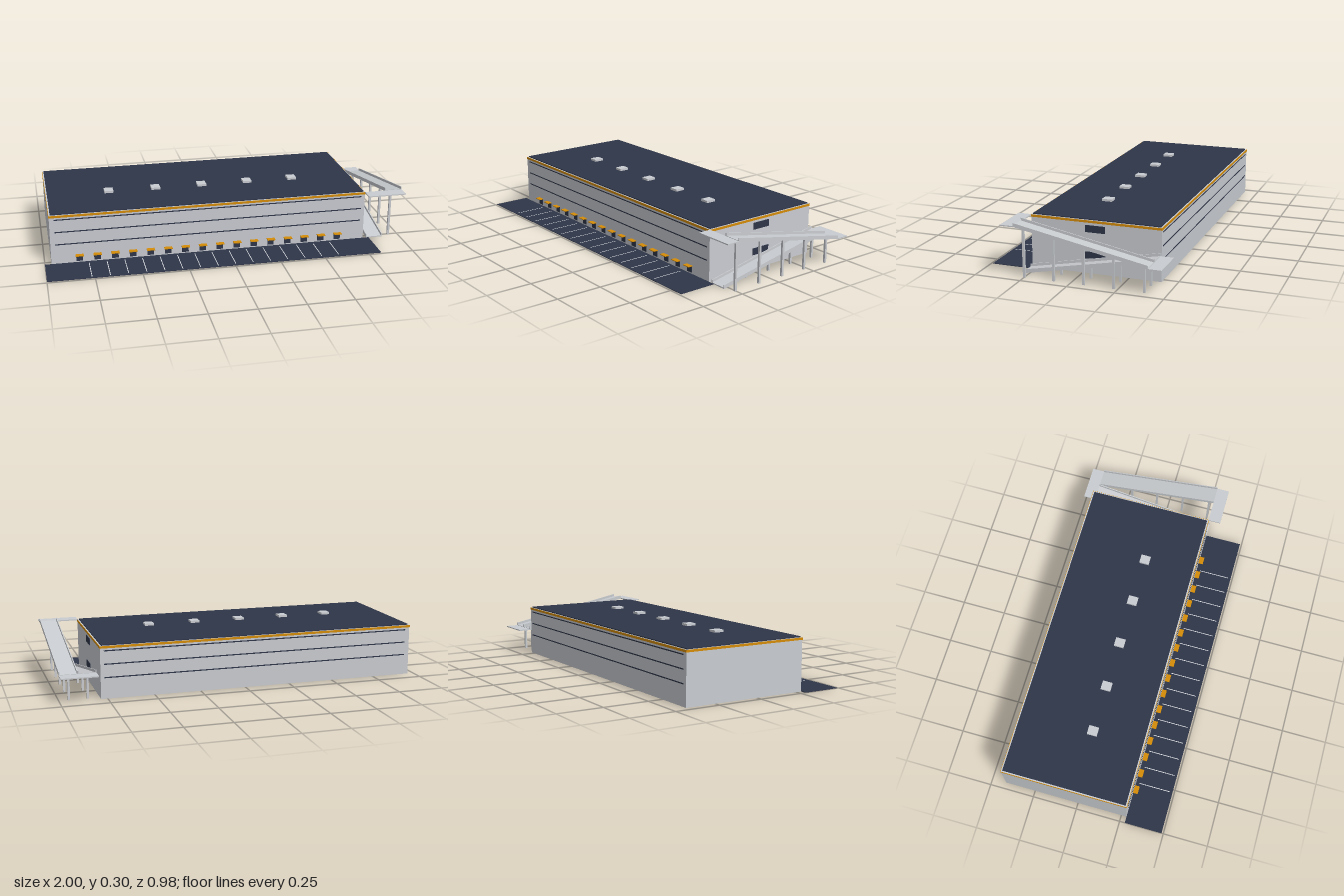
import * as THREE from 'three';

const mat = (name, color, side = THREE.FrontSide) =>
  Object.assign(new THREE.MeshStandardMaterial({ color, side }), { name });

export function createModel() {
  const wall = mat('pale wall', 0xc9ccd1);
  const navy = mat('dark navy', 0x2e3548);
  const orange = mat('orange trim', 0xd48c08);
  const steel = mat('ramp steel', 0xc9ccd0);
  const white = mat('white marking', 0xe8eaee);

  const model = new THREE.Group();
  model.name = 'warehouse';

  // Box given by its extents on each axis
  const box = (name, m, [x0, x1], [y0, y1], [z0, z1], parent = model) => {
    const mesh = new THREE.Mesh(new THREE.BoxGeometry(x1 - x0, y1 - y0, z1 - z0), m);
    mesh.position.set((x0 + x1) / 2, (y0 + y1) / 2, (z0 + z1) / 2);
    mesh.name = name;
    parent.add(mesh);
    return mesh;
  };
  const group = (name) => {
    const g = new THREE.Group();
    g.name = name;
    model.add(g);
    return g;
  };

  const X0 = -0.965, X1 = 0.785, Z0 = -0.42, Z1 = 0.28;

  // Main hall and roof
  box('hall', wall, [X0, X1], [0, 0.281], [Z0, Z1]);
  box('roof', navy, [X0 + 0.007, X1 - 0.007], [0.281, 0.286], [Z0 + 0.007, Z1 - 0.007]);

  // Orange band under the roof edge
  const band = group('roofBand');
  const bandY = [0.268, 0.28], e = 0.002;
  box('bandFront', orange, [X0 - e, X1 + e], bandY, [Z1, Z1 + e], band);
  box('bandBack', orange, [X0 - e, X1 + e], bandY, [Z0 - e, Z0], band);
  box('bandRight', orange, [X0 - e, X0], bandY, [Z0, Z1], band);
  box('bandLeft', orange, [X1, X1 + e], bandY, [Z0, Z1], band);

  // Thin cladding lines on the long walls
  const lines = group('claddingLines');
  for (const y of [0.113, 0.184, 0.255]) {
    box('frontLine', navy, [-0.94, 0.765], [y - 0.003, y + 0.003], [Z1, Z1 + 0.001], lines);
    box('backLine', navy, [-0.94, 0.765], [y - 0.003, y + 0.003], [Z0 - 0.001, Z0], lines);
  }

  // Roof skylights
  const skylights = group('skylights');
  for (let i = 0; i < 5; i++) {
    const x = -0.618 + i * 0.263;
    box('skylight', wall, [x - 0.025, x + 0.025], [0.285, 0.298], [-0.035, 0.02], skylights);
  }

  // Doors on the ramp side
  for (const y of [0.078, 0.218])
    box('sideDoor', navy, [X1, X1 + 0.003], [y, y + 0.037], [-0.123, -0.015]);

  // Loading yard, dock doors, canopies and bay markings
  box('yard', navy, [-1, 0.82], [0, 0.003], [Z1, 0.49]);
  const docks = group('loadingDocks');
  const pitch = 0.0963;
  for (let i = 0; i < 16; i++) {
    const x = -0.814 + i * pitch;
    box('dockDoor', navy, [x - 0.018, x + 0.018], [0.01, 0.045], [Z1, Z1 + 0.003], docks);
    box('dockCanopy', orange, [x - 0.022, x + 0.022], [0.045, 0.049], [Z1, 0.307], docks);
    if (i < 15) {
      const m = x + pitch / 2;
      box('bayLine', white, [m - 0.002, m + 0.002], [0.003, 0.0036], [0.30, 0.475], docks);
    }
  }

  // Sloping slab: side profile extruded along x
  const ramps = group('accessRamps');
  const slope = (name, x0, x1, yFront, yBack, t) => {
    const s = new THREE.Shape([
      new THREE.Vector2(-Z1, yFront), new THREE.Vector2(-Z0, yBack),
      new THREE.Vector2(-Z0, yBack + t), new THREE.Vector2(-Z1, yFront + t),
    ]);
    const g = new THREE.ExtrudeGeometry(s, { depth: x1 - x0, bevelEnabled: false });
    g.rotateY(Math.PI / 2).translate(x0, 0, 0);
    const mesh = new THREE.Mesh(g, steel);
    mesh.name = name;
    ramps.add(mesh);
  };
  const ramp = (name, x0, x1, yFront, yBack) => {
    slope(name + 'Deck', x0, x1, yFront, yBack, 0.006);
    for (const x of [x0, x1 - 0.005])
      slope(name + 'Kerb', x, x + 0.005, yFront + 0.004, yBack + 0.004, 0.016);
    // Posts reach the underside of the deck
    const cx = (x0 + x1) / 2 - 0.004;
    for (const z of [0.25, 0.09, -0.07, -0.228, -0.386]) {
      const y = yFront + (yBack - yFront) * (Z1 - z) / (Z1 - Z0) + 0.003;
      box(name + 'Post', steel, [cx - 0.006, cx + 0.006], [0, y], [z - 0.006, z + 0.006], ramps);
    }
  };
  ramp('lowerRamp', 0.805, 0.9, 0.001, 0.139);
  ramp('upperRamp', 0.902, 1, 0.277, 0.139);

  // Landings at the turn and at roof level
  box('turnLanding', steel, [0.805, 1], [0.137, 0.143], [-0.49, Z0], ramps);
  box('topLanding', steel, [X1, 1], [0.275, 0.281], [Z1, 0.35], ramps);

  return model;
}
